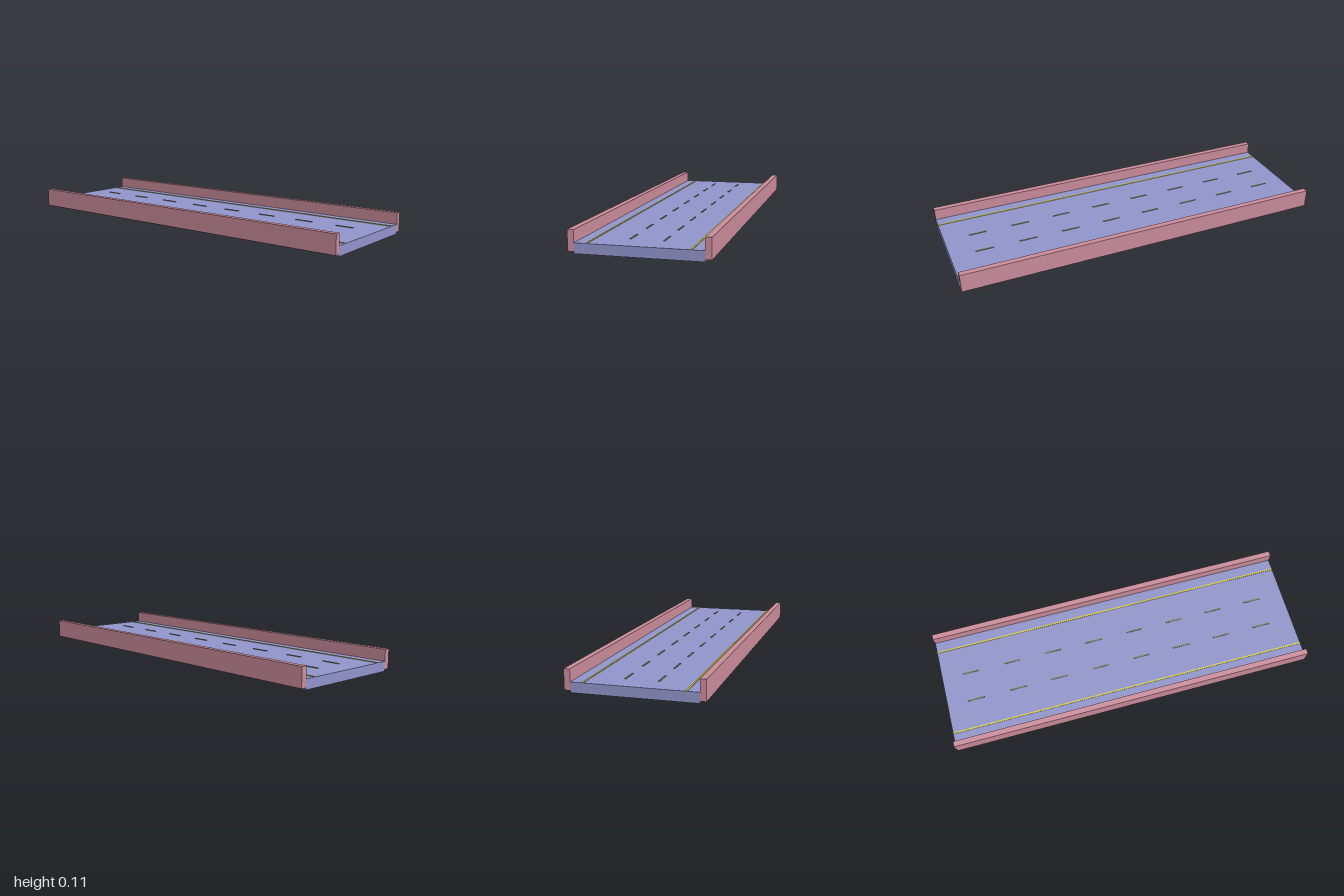
import * as THREE from 'three';

const material = (name, color) => {
  const m = new THREE.MeshStandardMaterial({ color });
  m.name = name;
  return m;
};

export function createModel() {
  const model = new THREE.Group();
  model.name = 'roadSection';

  const roadBlue = material('roadBlue', 0x9094c9);
  const barrierPink = material('barrierPink', 0xc98b9a);
  const lineYellow = material('lineYellow', 0xd8d04a);
  const dashOlive = material('dashOlive', 0x83836a);

  const addBox = (name, mat, [w, h, d], [x, bottom, z]) => {
    const mesh = new THREE.Mesh(new THREE.BoxGeometry(w, h, d), mat);
    mesh.name = name;
    mesh.position.set(x, bottom + h / 2, z);
    model.add(mesh);
  };

  // Road deck
  addBox('roadDeck', roadBlue, [0.6, 0.05, 2], [0, 0, 0]);

  for (const [side, s] of [['left', 1], ['right', -1]]) {
    // Side barrier, slightly raised off the ground
    addBox(`${side}Barrier`, barrierPink, [0.03, 0.1, 2], [s * 0.315, 0.01, 0]);
    // Continuous edge line
    addBox(`${side}EdgeLine`, lineYellow, [0.008, 0.003, 2], [s * 0.24, 0.05, 0]);
    // Dashed lane divider
    for (let i = 0; i < 8; i++) {
      addBox(`${side}LaneDash${i + 1}`, dashOlive, [0.008, 0.003, 0.096], [s * 0.08, 0.05, -0.84 + i * 0.237]);
    }
  }

  return model;
}
